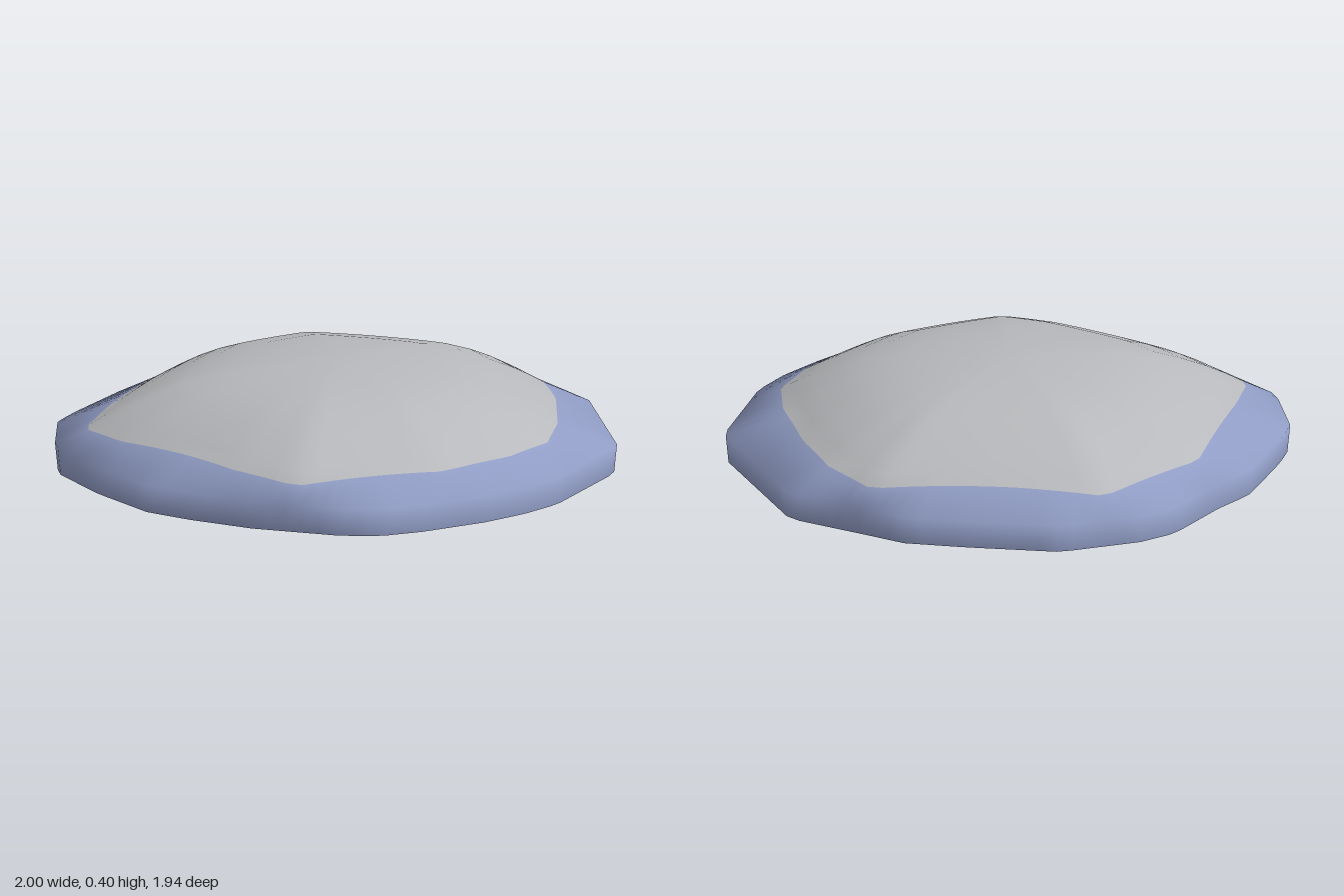
import * as THREE from 'three';

// Plan outlines as [x, z] corners
const FOOT = [
  [0.13, -0.97], [0.27, -0.93], [0.61, -0.84], [0.82, -0.56], [1, -0.32], [1, 0.16], [0.95, 0.33], [0.87, 0.5],
  [0.72, 0.72], [0.6, 0.85], [0.46, 0.91], [0.13, 0.97], [-0.13, 0.97], [-0.32, 0.95], [-0.6, 0.81], [-0.86, 0.63],
  [-1, 0.33], [-1, 0.18], [-0.98, -0.14], [-0.91, -0.3], [-0.82, -0.6], [-0.72, -0.72], [-0.46, -0.9], [-0.1, -0.95],
];
const SEAM = [
  [0.28, -0.88], [0.48, -0.73], [0.64, -0.52], [0.8, -0.22], [0.87, 0], [0.83, 0.24], [0.7, 0.52], [0.28, 0.9],
  [0, 0.86], [-0.22, 0.79], [-0.56, 0.69], [-0.77, 0.56], [-0.8, 0.3], [-0.82, -0.3], [-0.58, -0.72], [-0.24, -0.78],
];
// Dome profile: [fraction of seam radius, fraction of dome height]
const DOME = [[0.93, 0.17], [0.85, 0.34], [0.74, 0.54], [0.62, 0.72], [0.46, 0.86], [0.28, 0.95], [0.12, 0.99]];
const SEGMENTS = 96;
const TOP = 0.4;

// Distance from the centre to an outline along a direction
function radiusAt(outline, angle) {
  const dx = Math.cos(angle), dz = Math.sin(angle);
  let radius = 0;
  outline.forEach(([ax, az], i) => {
    const [bx, bz] = outline[(i + 1) % outline.length];
    const ex = bx - ax, ez = bz - az;
    const det = dx * ez - dz * ex;
    if (Math.abs(det) < 1e-9) return;
    const along = (ax * ez - az * ex) / det;
    const s = (ax * dz - az * dx) / det;
    if (along > 0 && s >= -1e-6 && s <= 1 + 1e-6) radius = Math.max(radius, along);
  });
  return radius;
}

export function createModel() {
  const group = new THREE.Group();
  const blue = new THREE.MeshStandardMaterial({ color: 0x909cc4 });
  blue.name = 'rim blue';
  const grey = new THREE.MeshStandardMaterial({ color: 0xb8b9bc });
  grey.name = 'cap grey';

  // Rings of the shell: foot, shoulder, seam, then up the dome
  const angles = Array.from({ length: SEGMENTS }, (_, i) => (i / SEGMENTS) * Math.PI * 2);
  const spokes = angles.map((angle) => {
    const foot = radiusAt(FOOT, angle), seam = radiusAt(SEAM, angle);
    const seamY = 0.18 + (0.88 - seam) * 0.2;
    return [[foot * 0.99, 0], [foot, 0.105], [seam, seamY],
      ...DOME.map(([r, h]) => [seam * r, seamY + (TOP - seamY) * h])];
  });
  const ringCount = 3 + DOME.length;
  const points = [];
  for (let ring = 0; ring < ringCount; ring++) {
    spokes.forEach((spoke, i) => {
      const [r, y] = spoke[ring];
      points.push(Math.cos(angles[i]) * r, y, Math.sin(angles[i]) * r);
    });
  }
  points.push(0, TOP, 0);

  const rimFaces = [], capFaces = [];
  for (let ring = 0; ring < ringCount; ring++) {
    const faces = ring < 2 ? rimFaces : capFaces;
    for (let i = 0; i < SEGMENTS; i++) {
      const next = (i + 1) % SEGMENTS;
      const a = ring * SEGMENTS + i, b = ring * SEGMENTS + next;
      if (ring === ringCount - 1) faces.push(a, ringCount * SEGMENTS, b);
      else faces.push(a, a + SEGMENTS, b, b, a + SEGMENTS, b + SEGMENTS);
    }
  }

  // Rim and cap share vertices and normals so shading flows across the seam
  const shell = new THREE.BufferGeometry();
  shell.setAttribute('position', new THREE.Float32BufferAttribute(points, 3));
  shell.setIndex([...rimFaces, ...capFaces]);
  shell.computeVertexNormals();
  const addPart = (name, faces, material) => {
    const geometry = shell.clone();
    geometry.setIndex(faces);
    const mesh = new THREE.Mesh(geometry, material);
    mesh.name = name;
    group.add(mesh);
  };
  addPart('rim', rimFaces, blue);
  addPart('domeCap', capFaces, grey);

  // Flat underside
  const base = new THREE.BufferGeometry();
  const fan = [];
  for (let i = 0; i < SEGMENTS; i++) fan.push(SEGMENTS, i, (i + 1) % SEGMENTS);
  base.setAttribute('position', new THREE.Float32BufferAttribute([...points.slice(0, SEGMENTS * 3), 0, 0, 0], 3));
  base.setIndex(fan);
  base.computeVertexNormals();
  const underside = new THREE.Mesh(base, blue);
  underside.name = 'underside';
  group.add(underside);

  return group;
}
